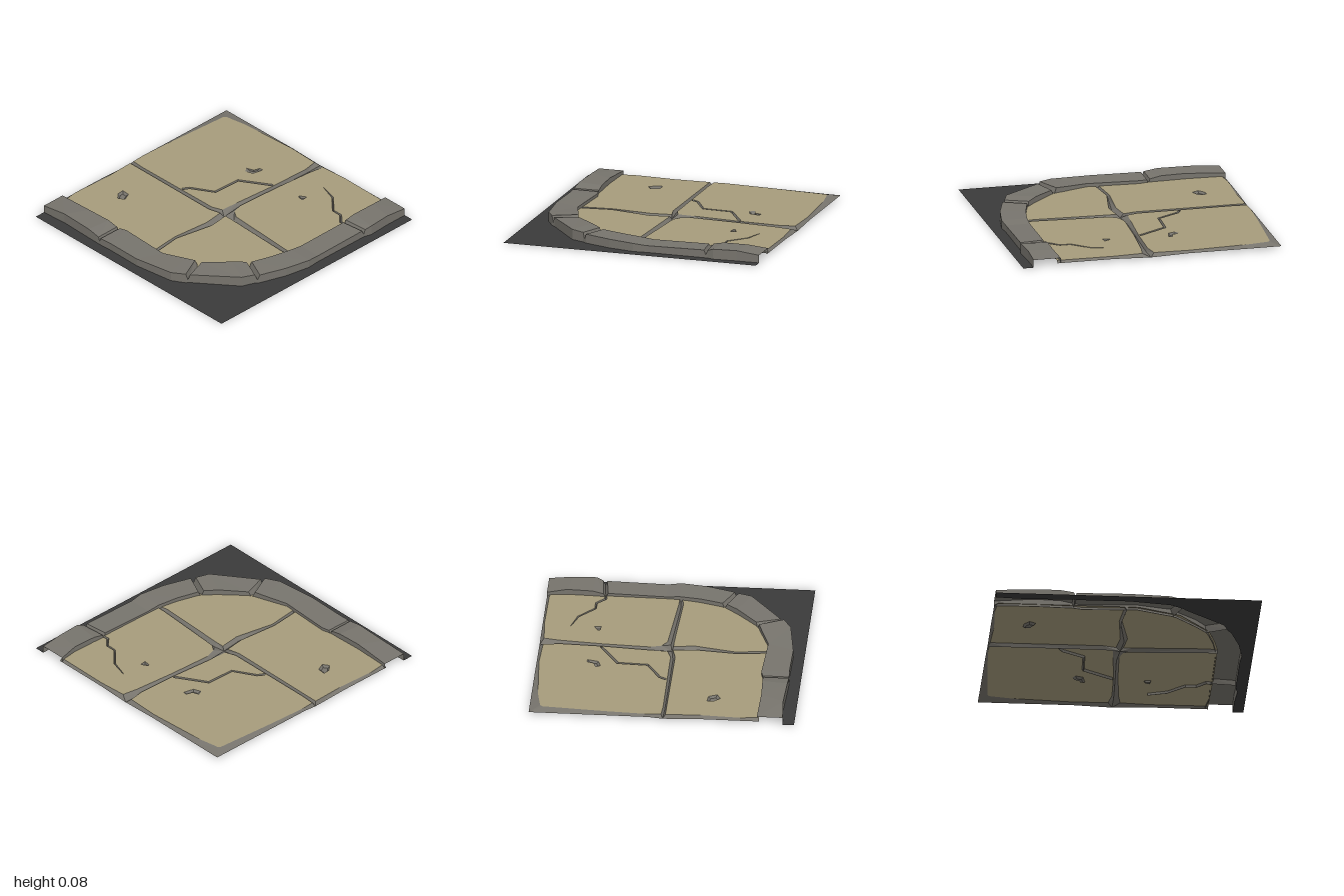
import * as THREE from 'three';

const TOP = 0.037, EDGE = 0.02, FLOOR = 0.01, JOINT = 0.025;

function material(name, color) {
  const m = new THREE.MeshStandardMaterial({ color, side: THREE.DoubleSide });
  m.name = name;
  return m;
}

// Flat-shaded surface lofted between consecutive rows of [x, y, z] points
function loft(rows) {
  const pos = [];
  for (let r = 0; r + 1 < rows.length; r++) {
    const a = rows[r], b = rows[r + 1];
    for (let i = 0; i + 1 < a.length; i++) {
      pos.push(...a[i], ...a[i + 1], ...b[i], ...a[i + 1], ...b[i + 1], ...b[i]);
    }
  }
  const g = new THREE.BufferGeometry();
  g.setAttribute('position', new THREE.Float32BufferAttribute(pos, 3));
  g.computeVertexNormals();
  return g;
}

// Horizontal face from [x, z] outlines
function flat(outline, y, holes = []) {
  const v = (p) => new THREE.Vector2(p[0], -p[1]);
  const shape = new THREE.Shape(outline.map(v));
  holes.forEach((h) => shape.holes.push(new THREE.Path(h.map(v))));
  return new THREE.ShapeGeometry(shape).rotateX(-Math.PI / 2).translate(0, y, 0);
}

// Left and right banks of a crack, from [x, z, halfWidth] points
function crackBanks(path) {
  const side = (s) => path.map((p, i) => {
    const a = path[Math.max(i - 1, 0)], b = path[Math.min(i + 1, path.length - 1)];
    const dx = b[0] - a[0], dz = b[1] - a[1], l = Math.hypot(dx, dz);
    return [p[0] - (s * dz * p[2]) / l, p[1] + (s * dx * p[2]) / l];
  });
  return [side(1), side(-1)];
}

// Grooves from the centre outward: [x, z, width towards -, width towards +]
const backGroove = [[-0.015, -0.17, 0.025, 0.02], [0, -0.52, 0.012, 0.022], [0.012, -0.85, 0.012, 0.038], [0.01, -0.97, 0.03, 0.06]];
const frontGroove = [[0.02, 0.17, 0.03, 0.025], [-0.028, 0.48, 0.012, 0.01], [0, 0.735, 0.015, 0.012]];
const leftGroove = [[-0.13, 0.018, 0.018, 0.017], [-0.87, 0.016, 0.013, 0.014], [-0.98, 0.01, 0.014, 0.02]];
const rightGroove = [[0.09, -0.015, 0.025, 0.025], [0.66, 0.016, 0.016, 0.019], [0.735, 0.01, 0.01, 0.01]];

// Tiles: quadrant signs, inner corner, free border and edge hidden by the kerb
const backLeft = {
  name: 'backLeftTile', sx: -1, sz: -1, corner: [-0.05, -0.03],
  border: [[-0.28, -0.98], [-0.75, -0.95], [-0.92, -0.92], [-0.935, -0.9], [-0.97, -0.4], [-0.985, -0.1]],
  hidden: [],
  cracks: [[[-0.02, -0.533, 0.01], [-0.25, -0.39, 0.01], [-0.26, -0.16, 0.009], [-0.43, -0.06, 0.009], [-0.461, -0.01, 0.01]]],
  pits: [[[-0.25, -0.62], [-0.22, -0.62], [-0.24, -0.535], [-0.3, -0.515], [-0.32, -0.55], [-0.265, -0.57]]],
};
const backRight = {
  name: 'backRightTile', sx: 1, sz: -1, corner: [0.03, -0.08],
  border: [[0.3, -0.985], [0.735, -0.98]],
  hidden: [[0.74, -0.5]],
  cracks: [[[0.265, -0.785, 0.002], [0.41, -0.74, 0.006], [0.54, -0.62, 0.007], [0.62, -0.62, 0.008], [0.69, -0.553, 0.01], [0.732, -0.56, 0.01]]],
  pits: [[[0.22, -0.575], [0.27, -0.605], [0.275, -0.555], [0.225, -0.56]]],
};
const frontLeft = {
  name: 'frontLeftTile', sx: -1, sz: 1, corner: [-0.03, 0.01],
  border: [[-0.97, 0.3], [-0.985, 0.6], [-0.97, 0.735]],
  hidden: [],
  cracks: [],
  pits: [[[-0.755, 0.325], [-0.69, 0.33], [-0.66, 0.395], [-0.71, 0.425], [-0.75, 0.38]]],
};
const frontRight = {
  name: 'frontRightTile', sx: 1, sz: 1, corner: [0.025, 0.01],
  border: [],
  hidden: [[0.705, 0.16], [0.65, 0.34], [0.41, 0.615], [0.09, 0.735]],
  cracks: [],
  pits: [],
};

// Kerb stones, each a run of stations [innerX, innerZ, outerX, outerZ, height]
const stones = [
  [[0.71, -1, 0.92, -1, 0.06], [0.73, -0.85, 0.92, -0.82, 0.08], [0.725, -0.66, 0.93, -0.64, 0.078], [0.72, -0.575, 0.915, -0.59, 0.061]],
  [[0.73, -0.54, 0.912, -0.56, 0.06], [0.725, -0.1, 0.91, -0.1, 0.053], [0.72, 0, 0.918, 0, 0.063], [0.69, 0.16, 0.88, 0.2, 0.068], [0.637, 0.33, 0.808, 0.41, 0.07]],
  [[0.615, 0.365, 0.785, 0.44, 0.075], [0.54, 0.45, 0.745, 0.54, 0.08], [0.38, 0.605, 0.44, 0.785, 0.07]],
  [[0.335, 0.63, 0.42, 0.81, 0.078], [0.26, 0.655, 0.32, 0.87, 0.073], [0.08, 0.72, 0, 0.915, 0.062], [-0.33, 0.7, -0.3, 0.91, 0.06], [-0.388, 0.715, -0.39, 0.915, 0.058]],
  [[-0.413, 0.72, -0.412, 0.915, 0.061], [-0.5, 0.722, -0.52, 0.912, 0.079], [-0.7, 0.73, -0.79, 0.902, 0.08], [-1, 0.72, -1, 0.915, 0.06]],
];

// One run of kerb stations with a notch between neighbouring stones
function kerbStations() {
  return stones.flatMap((stone, i) => {
    if (i === 0) return stone;
    const before = stones[i - 1].at(-1);
    const notch = before.map((v, k) => (k === 4 ? JOINT : (v + stone[0][k]) / 2));
    return [notch, ...stone];
  });
}

export function createModel() {
  const sand = material('sandstone', 0xa69c7c);
  const grey = material('greyStone', 0x77746d);
  const asphalt = material('darkAsphalt', 0x3b3b3b);
  const model = new THREE.Group();
  model.name = 'pavementCorner';
  const add = (name, geometry, mat, parent = model) => {
    const mesh = new THREE.Mesh(geometry, mat);
    mesh.name = name;
    parent.add(mesh);
  };
  const at = (pts, y) => pts.map((p) => [p[0], y, p[1]]);
  const snap = (v) => (v < -0.9 ? -1 : v);

  for (const { name, sx, sz, corner, border, hidden, cracks, pits } of [backLeft, backRight, frontLeft, frontRight]) {
    const tile = new THREE.Group();
    tile.name = name;
    model.add(tile);

    // Outline runs in along one groove, out along the other, then round the border
    const lengthwise = (sz < 0 ? backGroove : frontGroove).map(([x, z, a, b]) => (
      { rim: [x + (sx < 0 ? -a : b), z], foot: [snap(x), FLOOR, snap(z)] }));
    const crosswise = (sx < 0 ? leftGroove : rightGroove).map(([x, z, a, b]) => (
      { rim: [x, z + (sz < 0 ? -a : b)], foot: [snap(x), FLOOR, snap(z)] }));
    const [inward, outward] = sz < 0 ? [crosswise, lengthwise] : [lengthwise, crosswise];
    const path = [
      ...inward.reverse(),
      { rim: corner, foot: [0, FLOOR, 0] },
      ...outward,
      ...border.map(([x, z]) => ({ rim: [x, z], foot: [snap(x), EDGE, snap(z)] })),
    ];
    const outline = [...path.map((p) => p.rim), ...hidden];
    const banks = cracks.map(crackBanks);
    const holes = [...banks.map(([l, r]) => [...l, ...r.slice().reverse()]), ...pits];
    add('slab', flat(outline, TOP, holes), sand, tile);

    // Sloping sides; the back left tile is free all round
    const rim = name === 'backLeftTile' ? [...path, path[0]] : path;
    add('bevel', loft([at(rim.map((p) => p.rim), TOP), rim.map((p) => p.foot)]), grey, tile);

    // V-shaped cracks
    banks.forEach(([l, r], i) =>
      add('crack', loft([at(l, TOP), at(cracks[i], TOP - 0.018), at(r, TOP)]), grey, tile));

    // Chipped pits
    for (const pit of pits) {
      const cx = pit.reduce((s, p) => s + p[0], 0) / pit.length;
      const cz = pit.reduce((s, p) => s + p[1], 0) / pit.length;
      const base = pit.map(([x, z]) => [cx + (x - cx) * 0.6, cz + (z - cz) * 0.6]);
      add('pitWall', loft([at([...pit, pit[0]], TOP), at([...base, base[0]], TOP - 0.015)]), grey, tile);
      add('pitFloor', flat(base, TOP - 0.015), grey, tile);
    }
  }

  // Hollow kerb stones
  const kerb = kerbStations();
  add('kerb', loft([
    kerb.map(([x, z]) => [x, EDGE, z]),
    kerb.map(([x, z, , , h]) => [x, h, z]),
    kerb.map(([, , x, z, h]) => [x, h, z]),
    kerb.map(([, , x, z]) => [x, 0, z]),
  ]), grey);

  // Road surface outside the kerb
  add('road', flat([...kerb.map((k) => [k[2], k[3]]), [-1, 1], [1, 1], [1, -1]], 0), asphalt);
  return model;
}
